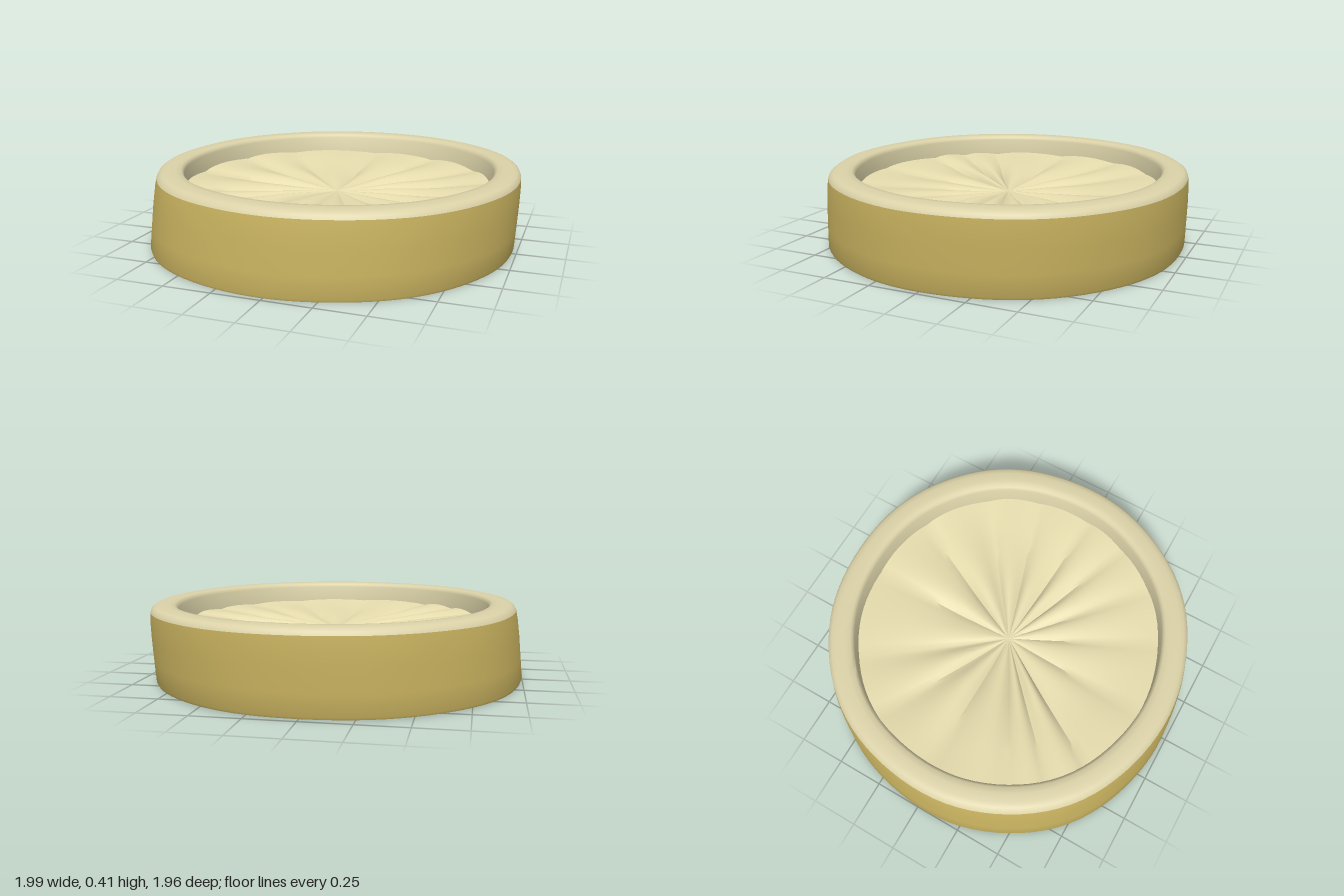
import * as THREE from 'three';
import { toCreasedNormals } from 'three/addons/utils/BufferGeometryUtils.js';

const RAD = Math.PI / 180;

// The whole cushion leans slightly, is a touch shorter in z and bulges on one diagonal
function lean(geometry) {
  const p = geometry.attributes.position;
  for (let i = 0; i < p.count; i++) {
    const x = p.getX(i), y = p.getY(i), z = p.getZ(i);
    const a = Math.atan2(z, x), s = Math.sin(2 * a);
    const bulge = 1 + 0.01 * (s * s - s) + 0.002 * Math.sin(9 * a);
    p.setXYZ(i, x * bulge - 0.01 + 0.075 * y, y, z * bulge * 0.983 + 0.005 - 0.06 * y);
  }
  return geometry;
}

// Ring part turned from (radius, height) points
function turned(points) {
  const g = new THREE.LatheGeometry(points.map(([r, y]) => new THREE.Vector2(r, y)), 96);
  return toCreasedNormals(lean(g), 0.7);
}

// Directions of the creases (degrees from +x towards +z) and height of the fold after each
const folds = [
  [4, 0.035], [22, 0.03], [42, 0.02], [64, 0.02], [92, 0.025], [121, 0.045], [136, 0.035],
  [150, 0.04], [180, 0.045], [208, 0.035], [232, 0.025], [268, 0.035], [295, 0.05], [322, 0.035], [342, 0.035],
];
const STEPS = 8, RINGS = 16;

// Pleated disc: each sector between two creases puffs up, flattening at hub and edge
function pleatedDisc(radius, hubY, edgeY, strength, facesUp) {
  const rays = [];
  folds.forEach(([start, height], k) => {
    const end = k + 1 < folds.length ? folds[k + 1][0] : folds[0][0] + 360;
    for (let s = 0; s < STEPS; s++) {
      const t = s / STEPS;
      const puff = strength * height * (Math.sin(Math.PI * Math.pow(t, 0.8)) - 0.6);
      rays.push([(start + (end - start) * t) * RAD, puff]);
    }
  });
  const n = rays.length, position = [], index = [];
  for (let i = 0; i <= RINGS; i++) {
    const u = i / RINGS;
    const fade = Math.min(1, u * 2.6) * (1 - 0.7 * u * u);
    for (const [angle, puff] of rays) {
      const ripple = 0.006 * Math.sin(9 * u + 3 * angle) * u * (1 - 0.5 * u);
      const y = hubY + (edgeY - hubY) * Math.pow(u, 1.3) + puff * fade + ripple;
      position.push(radius * u * Math.cos(angle), y, radius * u * Math.sin(angle));
    }
  }
  const face = (a, b, c) => (facesUp ? index.push(a, b, c) : index.push(a, c, b));
  for (let i = 0; i < RINGS; i++) {
    for (let j = 0; j < n; j++) {
      const k = (j + 1) % n;
      const a = i * n + j, d = i * n + k, b = a + n, c = d + n;
      face(a, c, b);
      if (i > 0) face(a, d, c);
    }
  }
  const g = new THREE.BufferGeometry();
  g.setAttribute('position', new THREE.Float32BufferAttribute(position, 3));
  g.setIndex(index);
  return toCreasedNormals(lean(g), 0.8);
}

function material(name, color) {
  const m = new THREE.MeshStandardMaterial({ color });
  m.name = name;
  return m;
}

export function createModel() {
  const cream = material('cream', 0xdbd2a8);
  const paleCream = material('paleCream', 0xe6dcae);
  const gold = material('gold', 0xc8b25f);
  const brown = material('brown', 0x786030);

  const model = new THREE.Group();
  model.name = 'pleatedRoundCushion';
  const add = (name, geometry, mat) => {
    const mesh = new THREE.Mesh(geometry, mat);
    mesh.name = name;
    model.add(mesh);
  };

  // Underside recess wall and flat base ring
  add('baseRing', turned([[0.845, 0.14], [0.855, 0.07], [0.865, 0], [0.985, 0]]), brown);

  // Outer side
  add('sideBand', turned([
    [0.985, 0], [0.99, 0.012], [0.988, 0.12], [0.985, 0.24], [0.98, 0.33], [0.974, 0.375],
  ]), gold);

  // Flat top rim with rounded edges and the steep wall down into the recess
  add('topRim', turned([
    [0.974, 0.375], [0.966, 0.392], [0.95, 0.403], [0.925, 0.409], [0.88, 0.41],
    [0.85, 0.408], [0.839, 0.4], [0.832, 0.385], [0.824, 0.25],
  ]), cream);

  // Gathered panels sinking towards the middle
  add('topPleats', pleatedDisc(0.828, 0.25, 0.3, 1, true), paleCream);
  add('bottomPleats', pleatedDisc(0.852, 0.125, 0.09, 0.8, false), brown);

  return model;
}
